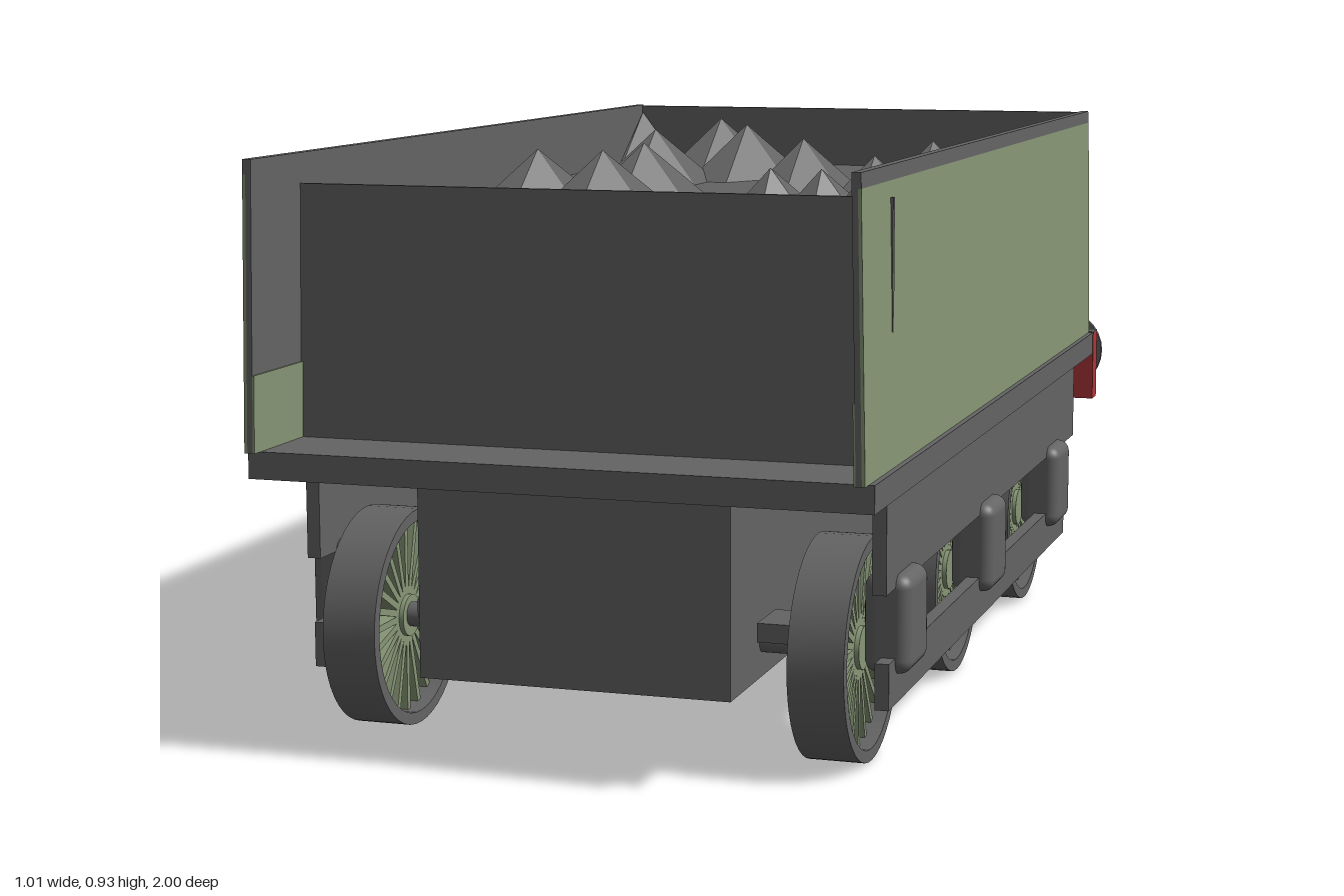
import * as THREE from 'three';
import { toCreasedNormals } from 'three/addons/utils/BufferGeometryUtils.js';
import { RoundedBoxGeometry } from 'three/addons/geometries/RoundedBoxGeometry.js';

export function createModel() {
  const model = new THREE.Group();
  model.name = 'coalTender';
  const paint = (name, color) => {
    const m = new THREE.MeshStandardMaterial({ color });
    m.name = name;
    return m;
  };
  const grey = paint('darkGrey', 0x646464);
  const green = paint('sageGreen', 0x879676);
  const red = paint('beamRed', 0xae3539);

  const add = (parent, name, geometry, material, x = 0, y = 0, z = 0) => {
    const mesh = new THREE.Mesh(geometry, material);
    mesh.name = name;
    mesh.position.set(x, y, z);
    parent.add(mesh);
    return mesh;
  };
  // Box given by its limits on each axis
  const box = (parent, name, material, [x0, x1], [y0, y1], [z0, z1]) =>
    add(parent, name, new THREE.BoxGeometry(x1 - x0, y1 - y0, z1 - z0), material,
      (x0 + x1) / 2, (y0 + y1) / 2, (z0 + z1) / 2);
  // Cross-section in x and y, drawn out from z0 to z1
  const prism = (parent, name, material, points, z0, z1) => {
    const shape = new THREE.Shape(points.map(([x, y]) => new THREE.Vector2(x, y)));
    const g = new THREE.ExtrudeGeometry(shape, { depth: z1 - z0, bevelEnabled: false });
    return add(parent, name, g, material, 0, 0, z0);
  };

  // Body: leaning side sheets, green outside with a grey top band
  const body = new THREE.Group();
  body.name = 'body';
  model.add(body);
  const outer = y => 0.488 - (y - 0.48) * 0.02;
  for (const s of [-1, 1]) {
    const strip = (name, mat, y0, y1, a, b, z0, z1) => prism(body, name, mat, [
      [s * (outer(y0) - a), y0], [s * (outer(y0) - b), y0],
      [s * (outer(y1) - b), y1], [s * (outer(y1) - a), y1]], z0, z1);
    strip('sideLining', grey, 0.48, 0.905, 0.005, 0.014, -0.802, 1);
    strip('sideSheet', green, 0.48, 0.905, 0, 0.005, -0.802, 1);
    strip('topBand', grey, 0.905, 0.928, 0, 0.014, -0.802, 1);
    strip('cabEndPanel', green, 0.48, 0.6, 0.014, 0.017, 0.83, 1);
  }
  const backOutline = [[-0.488, 0.48], [0.488, 0.48], [0.479, 0.926], [-0.479, 0.926]];
  prism(body, 'backSheet', green, backOutline, -0.81, -0.802);
  prism(body, 'backLining', grey, backOutline.map(([x, y]) => [x * 0.98, y]), -0.802, -0.795);
  for (const y of [0.58, 0.85])
    box(body, 'backStep', green, [-0.06, 0.06], [y - 0.022, y + 0.022], [-0.817, -0.809]);

  // Coal bunker with a raised front lip
  const bed = prism(body, 'coalBunker', grey,
    [[0.83, 0.48], [0.83, 0.88], [0.73, 0.81], [-0.798, 0.81], [-0.798, 0.48]], 0, 0.95);
  bed.geometry.rotateY(-Math.PI / 2);
  bed.position.set(0.475, 0, 0);
  box(body, 'frontPlate', grey, [-0.484, 0.484], [0.48, 0.88], [0.822, 0.832]);

  // Coal lumps: six-sided peaks kept inside the bunker
  const ring = [[1, 0], [1, -1], [0, -1], [-1, 0], [-1, 1], [0, 1]];
  const lump = (x, z, top = 0.913) => {
    const rim = ring.map(([i, j]) => [
      THREE.MathUtils.clamp(x + i * 0.0775, -0.468, 0.468), 0.809,
      THREE.MathUtils.clamp(z + j * 0.135, -0.795, 0.825)]);
    const pos = rim.flatMap((p, i) => [x, top, z, ...p, ...rim[(i + 1) % 6]]);
    const g = new THREE.BufferGeometry();
    g.setAttribute('position', new THREE.Float32BufferAttribute(pos, 3));
    g.computeVertexNormals();
    add(body, 'coalLump', g, grey);
  };
  [[-0.23, -0.6], [-0.115, -0.4], [-0.23, -0.19], [0.115, 0.01], [0.35, 0.01],
    [-0.23, 0.42], [-0.115, 0.42], [-0.115, 0.21], [0.35, 0.42], [0.27, 0.74],
    [0.35, 0.74], [0.43, 0.78], [-0.462, -0.79], [0.462, -0.79], [0.462, -0.66]]
    .forEach(([x, z]) => lump(x, z));

  // Footplate, water tank and buffer beam
  box(model, 'footplate', grey, [-0.492, 0.497], [0.437, 0.48], [-0.802, 0.98]);
  box(model, 'waterTank', grey, [-0.252, 0.253], [0.12, 0.437], [-0.835, 0.89]);
  box(model, 'bufferBeam', red, [-0.505, 0.498], [0.345, 0.479], [-0.845, -0.802]);
  box(model, 'beamCap', grey, [-0.505, 0.498], [0.479, 0.482], [-0.845, -0.802]);
  const rod = (r, length) => new THREE.CylinderGeometry(r, r, length, 28);
  for (const x of [-0.36, 0.4]) {
    add(model, 'bufferStem', rod(0.031, 0.15).rotateX(Math.PI / 2), grey, x, 0.418, -0.915);
    add(model, 'bufferHead', rod(0.083, 0.012).rotateX(Math.PI / 2), grey, x, 0.418, -0.994);
  }

  // Running gear
  const gear = new THREE.Group();
  gear.name = 'runningGear';
  gear.position.x = 0.008;
  model.add(gear);
  const tyreShape = new THREE.Shape().absarc(0, 0, 0.176, 0, Math.PI * 2);
  tyreShape.holes.push(new THREE.Path().absarc(0, 0, 0.157, 0, Math.PI * 2, true));
  const tyre = toCreasedNormals(new THREE.ExtrudeGeometry(tyreShape,
    { depth: 0.088, bevelEnabled: false, curveSegments: 24 })
    .translate(0, 0, -0.044).rotateY(Math.PI / 2), 0.6);
  const spoke = new THREE.BoxGeometry(0.045, 0.145, 0.011).translate(0, 0.09, 0);
  const hub = rod(0.034, 0.06).rotateZ(Math.PI / 2);
  const axle = rod(0.02, 0.74).rotateZ(Math.PI / 2);
  const axlebox = new RoundedBoxGeometry(0.076, 0.155, 0.125, 4, 0.022);

  for (const z of [0.72, 0.124, -0.474]) {
    add(gear, 'axle', axle, grey, 0, 0.178, z);
    for (const s of [-1, 1]) {
      const wheel = new THREE.Group();
      wheel.name = 'wheel';
      wheel.position.set(s * 0.378, 0.176, z);
      gear.add(wheel);
      add(wheel, 'tyre', tyre, grey);
      add(wheel, 'hub', hub, green);
      for (let i = 0; i < 24; i++)
        add(wheel, 'spoke', spoke, green).rotation.x = i * Math.PI / 12;
      add(gear, 'axlebox', axlebox, grey, s * 0.458, 0.228, z);
      add(gear, 'axleBracket', new THREE.BoxGeometry(0.065, 0.03, 0.1), grey, s * 0.283, 0.2, z);
    }
  }
  // Outside frames and lower tie bars
  for (const s of [-1, 1]) {
    add(gear, 'outsideFrame', new THREE.BoxGeometry(0.022, 0.15, 1.53), grey, s * 0.461, 0.362, 0.075);
    add(gear, 'tieBar', new THREE.BoxGeometry(0.022, 0.072, 1.42), grey, s * 0.461, 0.142, 0.11);
  }
  return model;
}
